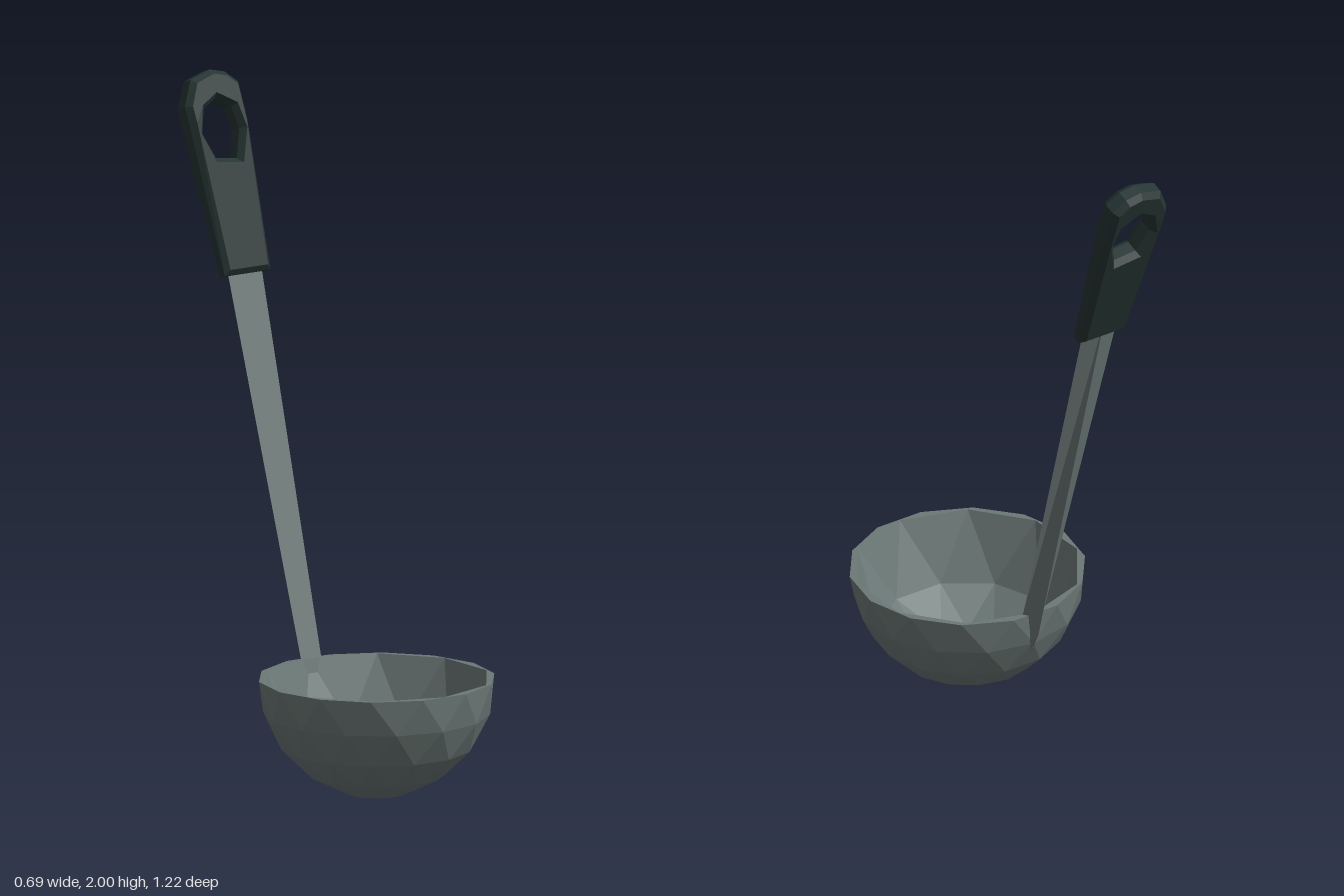
import * as THREE from 'three';

const metal = new THREE.MeshStandardMaterial({ color: 0x6c7977, flatShading: true });
metal.name = 'brushed steel';
const grip = new THREE.MeshStandardMaterial({ color: 0x263533, flatShading: true });
grip.name = 'dark grip';

const RIM = 0.345; // rim height and bowl radius
const BOWL_Z = 0.27;

const vec = ([x, y]) => new THREE.Vector2(x, y);

// Lathe whose rows are each turned half a step, giving staggered facets
function facetedLathe(profile, sides) {
  const g = new THREE.LatheGeometry(profile.map(vec), sides);
  const p = g.attributes.position;
  const v = new THREE.Vector3();
  const up = new THREE.Vector3(0, 1, 0);
  for (let i = 0; i < p.count; i++) {
    const row = i % profile.length;
    v.fromBufferAttribute(p, i).applyAxisAngle(up, (row * Math.PI) / sides);
    p.setXYZ(i, v.x, v.y, v.z);
  }
  g.computeVertexNormals();
  return g;
}

function add(parent, name, geometry, material) {
  const m = new THREE.Mesh(geometry, material);
  m.name = name;
  parent.add(m);
  return m;
}

// Regular polygon matching the start angle of a lathe row
function polygon(radius, sides, turn) {
  return Array.from({ length: sides }, (_, i) => {
    const a = turn + (i / sides) * Math.PI * 2;
    return new THREE.Vector2(radius * Math.sin(a), -radius * Math.cos(a));
  });
}

function makeBowl() {
  const bowl = new THREE.Group();
  bowl.name = 'bowl';
  bowl.position.z = BOWL_Z;

  const outer = [[0, 0], [0.09, 0.005], [0.2, 0.06], [0.28, 0.14], [0.33, 0.24], [0.347, RIM]];
  const inner = [[0.335, RIM], [0.255, 0.15], [0.13, 0.06], [0, 0.04]];
  add(bowl, 'bowlOutside', facetedLathe(outer, 14), metal);
  add(bowl, 'bowlInside', facetedLathe(inner, 10), metal);

  // flat rim joining the two shells
  const ring = new THREE.Shape(polygon(0.347, 14, (5 * Math.PI) / 14));
  ring.holes.push(new THREE.Path(polygon(0.335, 10, 0)));
  const rim = add(bowl, 'bowlRim', new THREE.ShapeGeometry(ring).rotateX(-Math.PI / 2), metal);
  rim.position.y = RIM;
  return bowl;
}

// Tapering stem: flat front, ridged back
function makeStem() {
  // height, half width, front z, ridge z
  const sections = [
    [0.22, 0.03, -0.035, -0.055],
    [0.28, 0.034, -0.04, -0.083],
    [RIM, 0.036, -0.055, -0.1],
    [1.5, 0.062, -0.403, -0.415],
  ];
  const rings = sections.map(([y, w, zf, zb]) => [[-w, y, zf], [w, y, zf], [0, y, zb]]);
  const pos = [];
  for (let s = 0; s < rings.length - 1; s++) {
    for (let k = 0; k < 3; k++) {
      const n = (k + 1) % 3;
      const [a, b, c, d] = [rings[s][k], rings[s][n], rings[s + 1][n], rings[s + 1][k]];
      pos.push(...a, ...b, ...c, ...a, ...c, ...d);
    }
  }
  const g = new THREE.BufferGeometry();
  g.setAttribute('position', new THREE.Float32BufferAttribute(pos, 3));
  g.computeVertexNormals();
  return g;
}

// Bevelled grip with a hanging hole, thicker towards the top
function makeHandle() {
  const outline = [
    [-0.08, 0], [0.083, 0], [0.1, 0.44], [0.095, 0.555], [0.055, 0.59],
    [0.005, 0.602], [-0.07, 0.58], [-0.108, 0.505], [-0.105, 0.45],
  ];
  const hole = [
    [-0.035, 0.345], [0.038, 0.335], [0.066, 0.42], [0.052, 0.485],
    [0, 0.515], [-0.045, 0.49], [-0.066, 0.42],
  ];
  const shape = new THREE.Shape(outline.map(vec));
  shape.holes.push(new THREE.Path(hole.map(vec)));
  const bevel = 0.015;
  const g = new THREE.ExtrudeGeometry(shape, {
    depth: 0.03, bevelEnabled: true, bevelThickness: bevel,
    bevelSize: bevel, bevelOffset: -bevel, bevelSegments: 1,
  });
  g.translate(0, 0, -0.015);
  const p = g.attributes.position;
  for (let i = 0; i < p.count; i++) {
    const y = p.getY(i);
    const thickness = y < 0.45
      ? THREE.MathUtils.mapLinear(y, 0, 0.45, 0.054, 0.08)
      : THREE.MathUtils.mapLinear(y, 0.45, 0.6, 0.08, 0.068);
    p.setZ(i, (p.getZ(i) * thickness) / 0.06);
  }
  g.computeVertexNormals();
  return g;
}

export function createModel() {
  const model = new THREE.Group();
  model.name = 'ladle';
  model.add(makeBowl());
  add(model, 'stem', makeStem(), metal);
  const handle = add(model, 'handle', makeHandle(), grip);
  handle.position.set(0, 1.43, -0.385);
  handle.rotation.x = -0.332;
  return model;
}
